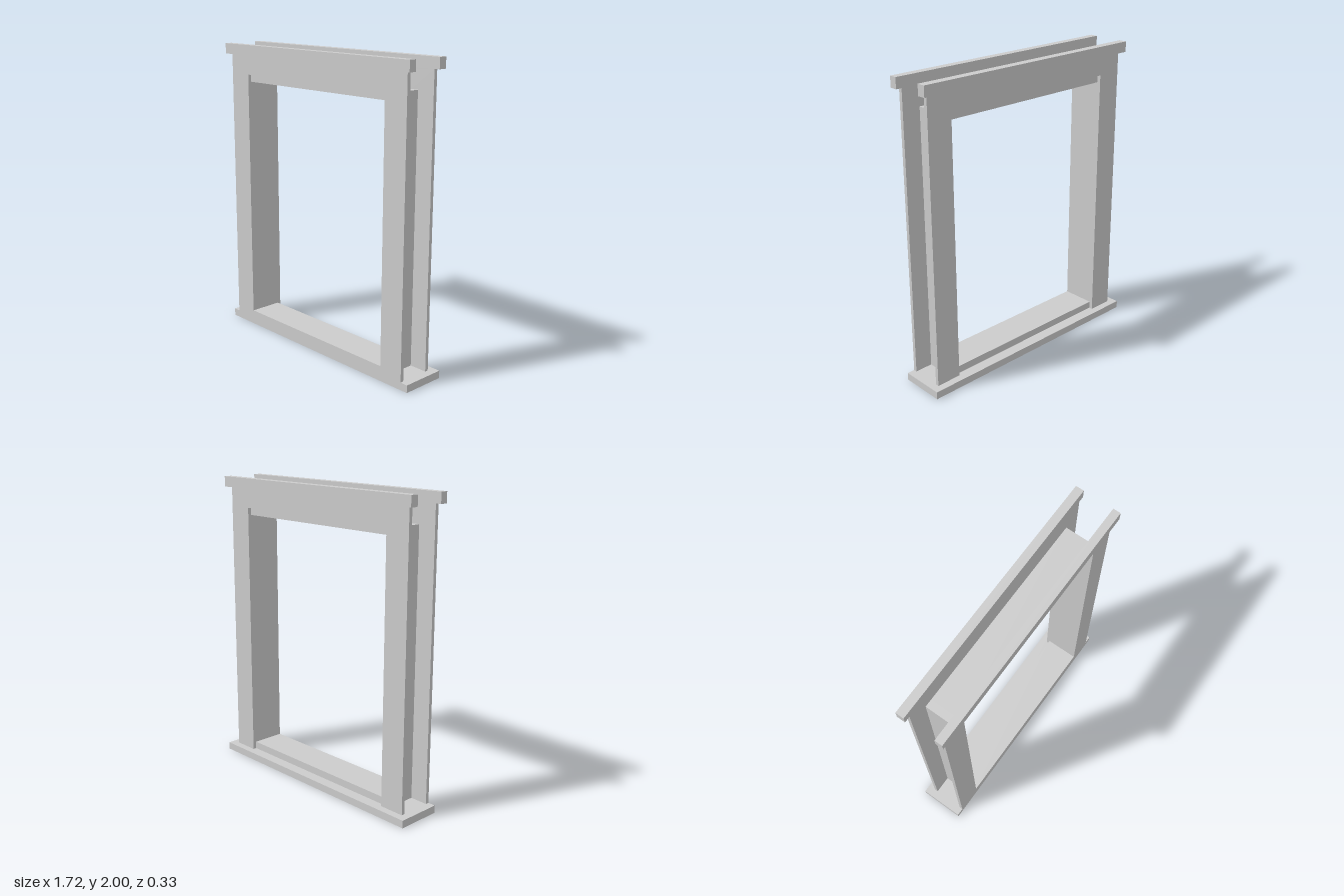
import * as THREE from 'three';

const material = new THREE.MeshStandardMaterial({ color: 0xcccccc, flatShading: true });

// Box given by its lower and upper limits on each axis
function block(name, [x0, x1], [y0, y1], [z0, z1]) {
  const mesh = new THREE.Mesh(new THREE.BoxGeometry(x1 - x0, y1 - y0, z1 - z0), material);
  mesh.position.set((x0 + x1) / 2, (y0 + y1) / 2, (z0 + z1) / 2);
  mesh.name = name;
  return mesh;
}

// Casing: two legs and a head, extruded as one flat arch
function casing(name, z0, z1) {
  const outer = 0.807, inner = 0.635, bottom = 0.05, head = 1.8, top = 1.93;
  const shape = new THREE.Shape([
    [-outer, bottom], [-inner, bottom], [-inner, head], [inner, head],
    [inner, bottom], [outer, bottom], [outer, top], [-outer, top],
  ].map(([x, y]) => new THREE.Vector2(x, y)));
  const geometry = new THREE.ExtrudeGeometry(shape, { depth: z1 - z0, bevelEnabled: false });
  const mesh = new THREE.Mesh(geometry, material);
  mesh.position.z = z0;
  mesh.name = name;
  return mesh;
}

export function createModel() {
  const model = new THREE.Group();
  model.name = 'windowFrame';
  const back = -0.09, front = 0.113, face = 0.137;

  // Base sill, reaching further out at the back
  model.add(block('baseSill', [-0.859, 0.859], [0, 0.05], [-0.164, face]));

  // Inner lining of the opening
  model.add(block('leftJamb', [0.635, 0.686], [0.05, 1.8], [back, front]));
  model.add(block('rightJamb', [-0.686, -0.635], [0.05, 1.8], [back, front]));
  model.add(block('headJamb', [-0.635, 0.635], [1.75, 1.8], [back, front]));
  model.add(block('innerSill', [-0.635, 0.635], [0.05, 0.1], [back, face]));

  // Flat casings on both faces
  model.add(casing('frontCasing', front, face));
  model.add(casing('backCasing', -0.114, back));

  // Projecting caps along the top of each casing
  model.add(block('frontCap', [-0.845, 0.845], [1.93, 2], [front, 0.164]));
  model.add(block('backCap', [-0.845, 0.845], [1.93, 2], [-0.145, back]));

  return model;
}
